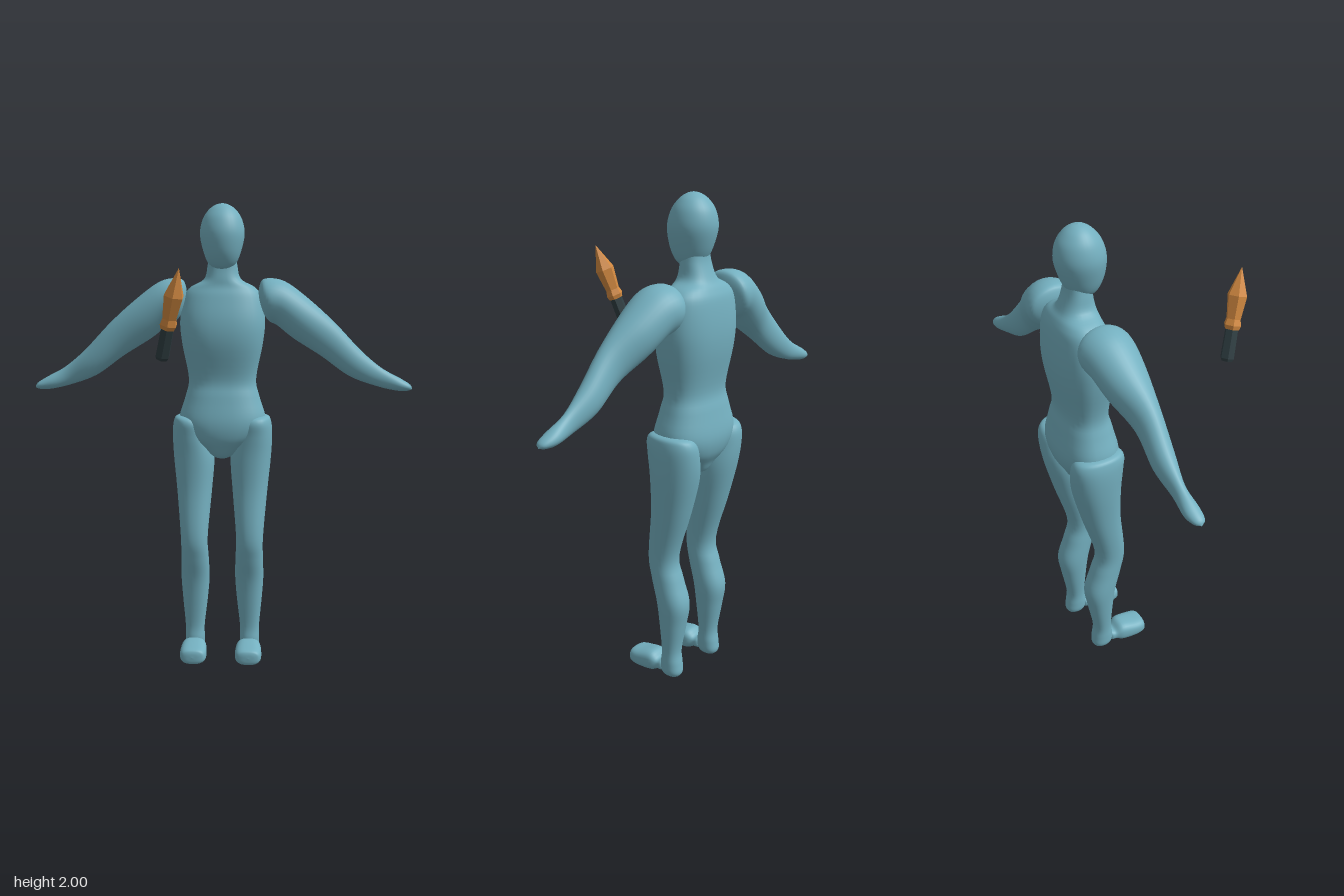
import * as THREE from 'three';

// Smooth closed skin through cross-sections { c: centre, u, v: half-axes }.
// n is the superellipse power: 2 is round, larger is boxier.
function loft(sections, n = 2, sides = 32, steps = 5) {
  const curve = k => new THREE.CatmullRomCurve3(sections.map(s => s[k]), false, 'catmullrom', 0.5);
  const [cs, us, vs] = ['c', 'u', 'v'].map(curve);
  const rings = (sections.length - 1) * steps;
  const mid = sections[sections.length >> 1];
  const along = sections.at(-1).c.clone().sub(sections[0].c);
  const flip = mid.u.clone().cross(mid.v).dot(along) < 0 ? -1 : 1;
  const power = a => Math.sign(a) * Math.abs(a) ** (2 / n);
  const pos = [], index = [];
  for (let i = 0; i <= rings; i++) {
    const c = cs.getPoint(i / rings), u = us.getPoint(i / rings), v = vs.getPoint(i / rings);
    for (let j = 0; j < sides; j++) {
      const a = (j / sides) * Math.PI * 2;
      const p = c.clone().addScaledVector(u, power(Math.cos(a))).addScaledVector(v, flip * power(Math.sin(a)));
      pos.push(p.x, p.y, p.z);
      if (i < rings) {
        const k = (j + 1) % sides, r = i * sides, q = r + sides;
        index.push(r + j, r + k, q + j, r + k, q + k, q + j);
      }
    }
  }
  const g = new THREE.BufferGeometry();
  g.setAttribute('position', new THREE.Float32BufferAttribute(pos, 3));
  g.setIndex(index);
  g.computeVertexNormals();
  return g;
}

const V = (x, y, z) => new THREE.Vector3(x, y, z);
// Horizontal section: height, x range, z range
const level = ([y, x0, x1, z0, z1], s = 1) => ({
  c: V(s * (x0 + x1) / 2, y, (z0 + z1) / 2), u: V((x1 - x0) / 2, 0, 0), v: V(0, 0, (z1 - z0) / 2),
});
// Upright section facing forward: depth, x range, y range
const upright = ([z, x0, x1, y0, y1], s) => ({
  c: V(s * (x0 + x1) / 2, (y0 + y1) / 2, z), u: V((x1 - x0) / 2, 0, 0), v: V(0, (y1 - y0) / 2, 0),
});
// Arm section: top point, bottom point, z range
const slice = ([tx, ty, bx, by, z0, z1], s) => ({
  c: V(s * (tx + bx) / 2, (ty + by) / 2, (z0 + z1) / 2),
  u: V(s * (tx - bx) / 2, (ty - by) / 2, 0), v: V(0, 0, (z1 - z0) / 2),
});
const centred = ([y, r, z0, z1]) => level([y, -r, r, z0, z1]);

const HEAD = [
  [1.718, 0, -0.24, -0.24], [1.725, 0.035, -0.275, -0.2], [1.75, 0.062, -0.3, -0.175],
  [1.8, 0.082, -0.325, -0.153], [1.87, 0.096, -0.342, -0.145], [1.93, 0.085, -0.332, -0.16],
  [1.97, 0.06, -0.305, -0.188], [1.992, 0.03, -0.275, -0.217], [2, 0, -0.245, -0.245],
];
const TORSO = [
  [0.9, 0, -0.26, -0.26], [0.905, 0.035, -0.32, -0.2], [0.95, 0.09, -0.35, -0.167],
  [1, 0.155, -0.378, -0.148], [1.07, 0.19, -0.388, -0.145], [1.17, 0.163, -0.37, -0.165],
  [1.25, 0.148, -0.356, -0.178], [1.4, 0.176, -0.38, -0.15], [1.5, 0.185, -0.385, -0.152],
  [1.6, 0.17, -0.375, -0.178], [1.645, 0.14, -0.358, -0.195], [1.68, 0.08, -0.335, -0.2],
  [1.74, 0.064, -0.312, -0.208], [1.8, 0.055, -0.305, -0.2],
];
const LEG = [
  [0.008, 0.123, 0.123, -0.27, -0.27], [0.01, 0.1, 0.148, -0.3, -0.24], [0.03, 0.083, 0.165, -0.314, -0.223],
  [0.07, 0.08, 0.167, -0.31, -0.22], [0.13, 0.08, 0.167, -0.303, -0.226], [0.25, 0.066, 0.178, -0.323, -0.215],
  [0.35, 0.058, 0.185, -0.335, -0.2], [0.45, 0.06, 0.183, -0.302, -0.172], [0.55, 0.063, 0.183, -0.28, -0.155],
  [0.75, 0.046, 0.2, -0.335, -0.173], [0.9, 0.036, 0.215, -0.372, -0.172], [1, 0.055, 0.22, -0.384, -0.165],
  [1.06, 0.075, 0.215, -0.378, -0.162], [1.085, 0.105, 0.2, -0.345, -0.19], [1.09, 0.15, 0.15, -0.265, -0.265],
];
const FOOT = [
  [-0.25, 0.123, 0.123, 0.045, 0.045], [-0.232, 0.09, 0.155, 0.02, 0.07], [-0.208, 0.083, 0.162, 0.018, 0.068],
  [-0.175, 0.068, 0.175, 0.003, 0.092], [-0.11, 0.063, 0.18, 0.001, 0.08], [-0.073, 0.07, 0.173, 0.006, 0.072],
  [-0.062, 0.09, 0.155, 0.015, 0.06], [-0.059, 0.123, 0.123, 0.038, 0.038],
];
const ARM = [
  [0.155, 1.59, 0.155, 1.59, -0.265, -0.265], [0.16, 1.65, 0.18, 1.53, -0.34, -0.19],
  [0.185, 1.682, 0.205, 1.498, -0.368, -0.158], [0.27, 1.67, 0.24, 1.48, -0.36, -0.158],
  [0.38, 1.59, 0.31, 1.425, -0.335, -0.165], [0.49, 1.49, 0.43, 1.35, -0.288, -0.183],
  [0.6, 1.375, 0.55, 1.265, -0.286, -0.198], [0.69, 1.3, 0.665, 1.222, -0.272, -0.22],
  [0.77, 1.256, 0.75, 1.202, -0.28, -0.215], [0.815, 1.228, 0.8, 1.2, -0.268, -0.222],
  [0.825, 1.207, 0.825, 1.207, -0.245, -0.245],
];

export function createModel() {
  const model = new THREE.Group();
  const material = (name, color) => {
    const m = new THREE.MeshStandardMaterial({ color });
    m.name = name;
    return m;
  };
  const skin = material('blue skin', 0x74b0c0);
  const orange = material('orange blade', 0xd08840);
  const dark = material('dark grip', 0x2f3e42);
  const add = (parent, name, geometry, mat) => {
    const mesh = new THREE.Mesh(geometry, mat);
    mesh.name = name;
    parent.add(mesh);
  };

  // Figure
  add(model, 'head', loft(HEAD.map(centred)), skin);
  add(model, 'torso', loft(TORSO.map(centred), 2.4), skin);
  for (const [side, s] of [['left', 1], ['right', -1]]) {
    add(model, side + 'Arm', loft(ARM.map(r => slice(r, s))), skin);
    add(model, side + 'Leg', loft(LEG.map(r => level(r, s)), 2.2), skin);
    add(model, side + 'Foot', loft(FOOT.map(r => upright(r, s)), 2.7), skin);
  }

  // Faceted dagger floating in front, grip end at its origin
  const dagger = new THREE.Group();
  dagger.name = 'dagger';
  const faceted = points => {
    const g = new THREE.LatheGeometry(points.map(p => new THREE.Vector2(...p)), 6).toNonIndexed();
    g.computeVertexNormals();
    return g;
  };
  add(dagger, 'grip', faceted([[0, 0], [0.023, 0], [0.029, 0.012], [0.027, 0.135], [0, 0.135]]), dark);
  add(dagger, 'blade', faceted([
    [0, 0.128], [0.03, 0.128], [0.036, 0.145], [0.03, 0.17], [0.041, 0.262], [0, 0.372],
  ]), orange);
  dagger.position.set(-0.208, 1.372, 0.283);
  dagger.quaternion.setFromUnitVectors(V(0, 1, 0), V(0.078, 0.347, 0.107).normalize());
  model.add(dagger);
  return model;
}
